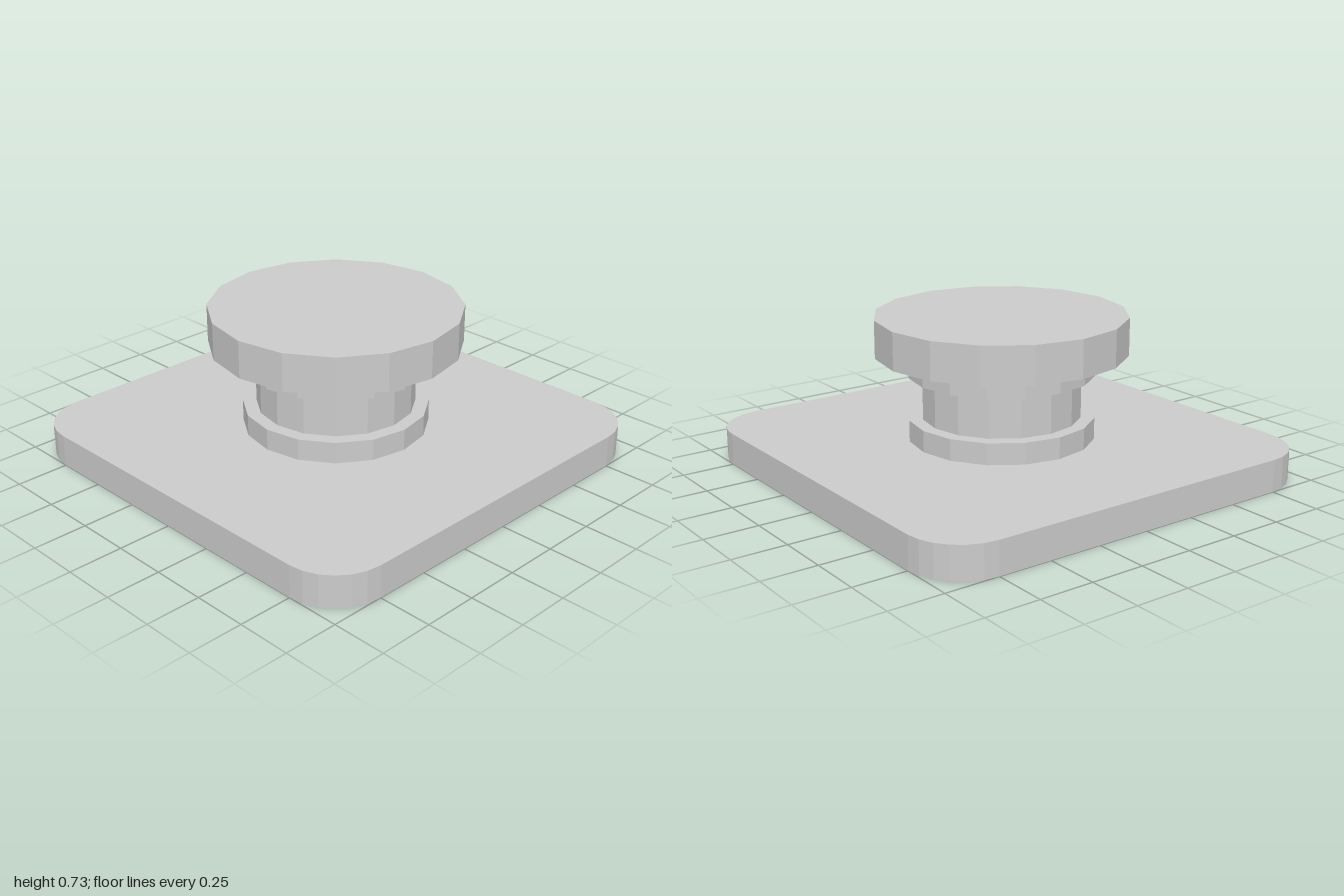
import * as THREE from 'three';

const material = new THREE.MeshStandardMaterial({ color: 0xcccccc, flatShading: true });

export function createModel() {
  const group = new THREE.Group();

  const add = (name, geometry, y) => {
    const mesh = new THREE.Mesh(geometry, material);
    mesh.name = name;
    mesh.position.y = y;
    group.add(mesh);
  };

  // 16-sided disc between two heights
  const disc = (name, radius, bottom, top) =>
    add(name, new THREE.CylinderGeometry(radius, radius, top - bottom, 16), (bottom + top) / 2);

  // Square base plate with faceted round corners
  const half = 1, r = 0.25, c = half - r;
  const outline = new THREE.Shape();
  [[c, c], [-c, c], [-c, -c], [c, -c]].forEach(([x, y], i) =>
    outline.absarc(x, y, r, i * Math.PI / 2, (i + 1) * Math.PI / 2, false));
  const plate = new THREE.ExtrudeGeometry(outline, { depth: 0.15, bevelEnabled: false, curveSegments: 3 });
  plate.rotateX(-Math.PI / 2);
  add('basePlate', plate, 0);

  // Stem with collars and the cap on top
  disc('lowerCollar', 0.43, 0.15, 0.25);
  disc('stem', 0.367, 0.25, 0.45);
  disc('upperCollar', 0.43, 0.45, 0.55);
  disc('cap', 0.58, 0.55, 0.725);

  return group;
}
